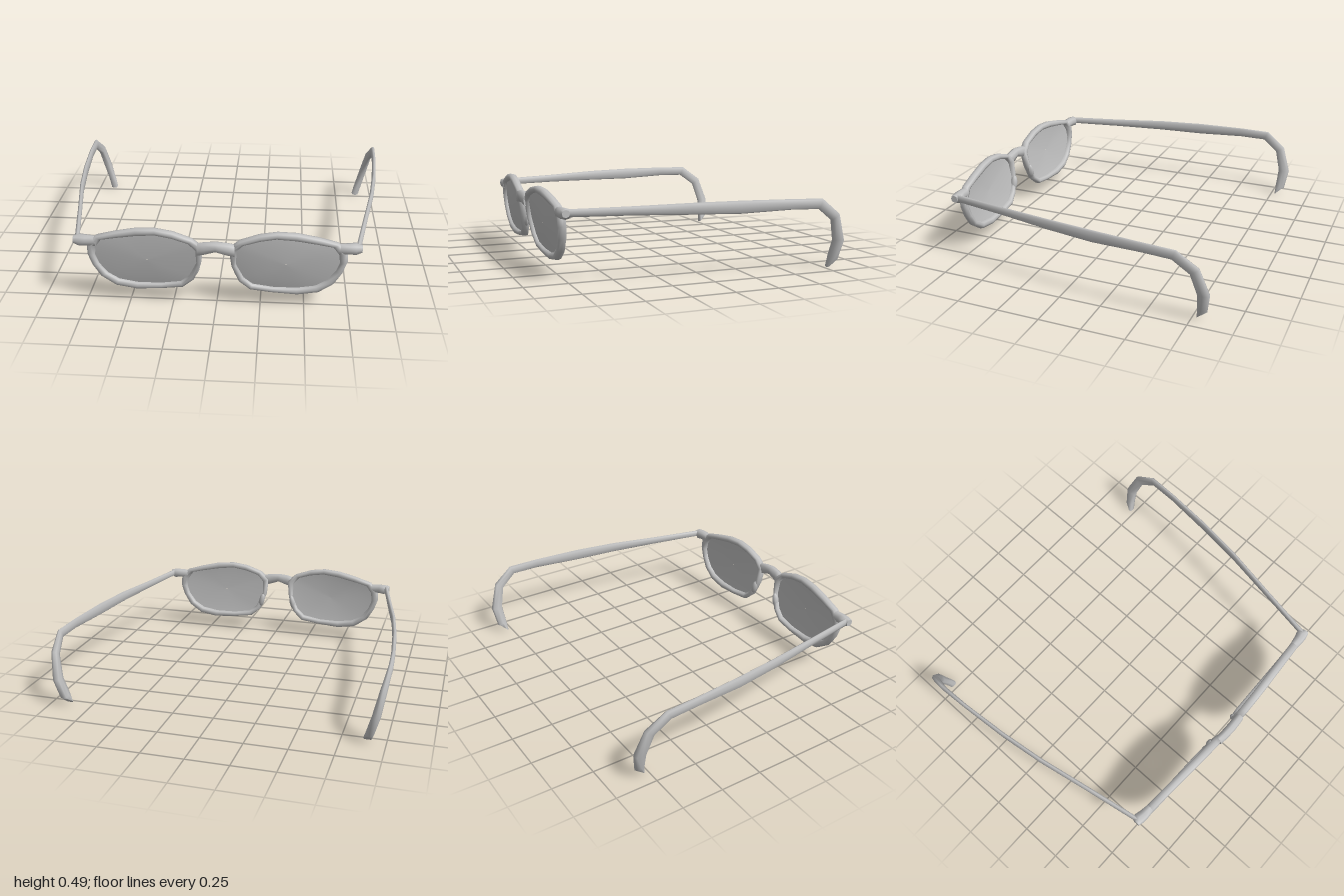
import * as THREE from 'three';

const V = (x, y, z) => new THREE.Vector3(x, y, z);
const SIDES = 8;

// Skin a list of equal-length rings; optionally join the last ring to the first, or cap the ends
function loft(rings, { closed = false, caps = false } = {}) {
  const n = rings[0].length, pos = [], idx = [];
  const add = (p) => pos.push(p.x, p.y, p.z) / 3 - 1;
  rings.forEach((ring) => ring.forEach(add));
  const last = closed ? rings.length : rings.length - 1;
  for (let r = 0; r < last; r++) {
    const a = r * n, b = ((r + 1) % rings.length) * n;
    for (let i = 0; i < n; i++) {
      const j = (i + 1) % n;
      idx.push(a + i, a + j, b + j, a + i, b + j, b + i);
    }
  }
  if (caps) {
    [rings[0], rings[rings.length - 1]].forEach((ring, end) => {
      const mid = ring.reduce((s, p) => s.add(p), V(0, 0, 0)).divideScalar(n);
      const c = add(mid), first = c + 1;
      ring.forEach(add);
      for (let i = 0; i < n; i++) {
        const p = first + i, q = first + (i + 1) % n;
        end ? idx.push(c, p, q) : idx.push(c, q, p);
      }
    });
  }
  const g = new THREE.BufferGeometry();
  g.setAttribute('position', new THREE.Float32BufferAttribute(pos, 3));
  g.setIndex(idx);
  g.computeVertexNormals();
  return g;
}

// Soft rectangular cross-section spanned by two half-axes
function section(center, e1, e2) {
  const soft = (v) => Math.sign(v) * Math.pow(Math.abs(v), 0.75);
  return Array.from({ length: SIDES }, (_, i) => {
    const a = (i / SIDES) * Math.PI * 2;
    return center.clone().addScaledVector(e1, soft(Math.cos(a))).addScaledVector(e2, soft(Math.sin(a)));
  });
}

function mirrored(geometry) {
  const g = geometry.clone().scale(-1, 1, 1);
  const a = g.index.array;
  for (let i = 0; i < a.length; i += 3) [a[i + 1], a[i + 2]] = [a[i + 2], a[i + 1]];
  g.computeVertexNormals();
  return g;
}

// Wrapped and tilted plane that the front of the frame follows
const faceZ = (x, y) => 0.83 - 0.065 * x - 0.16 * (0.47 - y) * (1 - 0.8 * x);

// Rim outline: outer x, y, inner x, y
const outline = [
  [0.07, 0.385, 0.115, 0.365], [0.13, 0.435, 0.155, 0.41], [0.24, 0.475, 0.245, 0.437],
  [0.34, 0.49, 0.335, 0.452], [0.45, 0.483, 0.44, 0.441], [0.57, 0.455, 0.555, 0.42],
  [0.68, 0.422, 0.645, 0.402], [0.73, 0.375, 0.682, 0.35], [0.735, 0.31, 0.69, 0.295],
  [0.71, 0.235, 0.67, 0.24], [0.665, 0.16, 0.625, 0.18], [0.58, 0.1, 0.56, 0.14],
  [0.46, 0.08, 0.455, 0.122], [0.31, 0.092, 0.32, 0.123], [0.19, 0.108, 0.205, 0.142],
  [0.125, 0.165, 0.155, 0.185], [0.085, 0.27, 0.112, 0.275],
];

function rimGeometry() {
  return loft(outline.map(([ox, oy, ix, iy]) => {
    const mx = (ox + ix) / 2, my = (oy + iy) / 2;
    return section(V(mx, my, faceZ(mx, my)), V(ox - mx, oy - my, 0), V(0, 0, 0.025));
  }), { closed: true });
}

// Lens: concentric copies of the rim line, gently domed forward
function lensGeometry() {
  const cx = 0.39, cy = 0.285;
  return loft([0.01, 0.35, 0.65, 0.85, 1].map((t) => outline.map(([ox, oy, ix, iy]) => {
    const x = cx + ((ox + ix) / 2 - cx) * t, y = cy + ((oy + iy) / 2 - cy) * t;
    return V(x, y, faceZ(x, y) + 0.015 * (1 - t * t));
  })));
}

// Temple: centre x, half thickness, then upper (y, z) and lower (y, z) edges
function templeGeometry() {
  const stations = [
    [0.785, 0.014, 0.413, 0.785, 0.37, 0.785],
    [0.852, 0.013, 0.42, 0.42, 0.37, 0.42],
    [0.913, 0.013, 0.43, 0.1, 0.365, 0.1],
    [0.951, 0.013, 0.433, -0.18, 0.36, -0.18],
    [0.977, 0.012, 0.43, -0.48, 0.37, -0.48],
    [0.985, 0.014, 0.425, -0.675, 0.366, -0.65],
    [0.968, 0.02, 0.33, -0.8, 0.295, -0.745],
    [0.94, 0.025, 0.17, -0.853, 0.17, -0.78],
    [0.91, 0.025, 0.05, -0.833, 0.08, -0.775],
    [0.895, 0.024, 0.03, -0.8, 0.004, -0.772],
  ];
  return loft(stations.map(([x, w, uy, uz, ly, lz]) => section(
    V(x, (uy + ly) / 2, (uz + lz) / 2),
    V(0, (uy - ly) / 2, (uz - lz) / 2), V(w, 0, 0))), { caps: true });
}

// Bars running along x: x, bottom y, top y, back z, front z
function barGeometry(stations) {
  return loft(stations.map(([x, y0, y1, z0, z1]) => section(
    V(x, (y0 + y1) / 2, (z0 + z1) / 2),
    V(0, (y1 - y0) / 2, 0), V(0, 0, (z1 - z0) / 2))), { caps: true });
}

export function createModel() {
  const model = new THREE.Group();
  model.name = 'eyeglasses';
  const grey = new THREE.MeshStandardMaterial({ color: 0xc0c0c0, side: THREE.DoubleSide });
  grey.name = 'light grey';

  const add = (name, geometry) => {
    const mesh = new THREE.Mesh(geometry, grey);
    mesh.name = name;
    model.add(mesh);
  };
  const addPair = (name, geometry) => {
    add('left' + name, geometry);
    add('right' + name, mirrored(geometry));
  };

  addPair('Rim', rimGeometry());
  addPair('Lens', lensGeometry());
  addPair('Temple', templeGeometry());

  // Hinge blocks joining rims to temples
  addPair('Hinge', barGeometry([
    [0.68, 0.355, 0.415, 0.755, 0.805],
    [0.74, 0.358, 0.418, 0.745, 0.808],
    [0.775, 0.355, 0.418, 0.735, 0.806],
    [0.808, 0.37, 0.412, 0.755, 0.798],
  ]));

  // Bridge over the nose
  add('bridge', barGeometry([
    [-0.105, 0.335, 0.41, 0.79, 0.842],
    [-0.065, 0.345, 0.42, 0.793, 0.848],
    [0, 0.368, 0.425, 0.795, 0.852],
    [0.065, 0.345, 0.42, 0.793, 0.848],
    [0.105, 0.335, 0.41, 0.79, 0.842],
  ]));

  // Small nose pads behind the inner rims
  const pad = new THREE.SphereGeometry(1, 10, 8).scale(0.02, 0.05, 0.022);
  pad.rotateZ(0.25).translate(0.115, 0.23, 0.775);
  addPair('NosePad', pad);

  return model;
}
